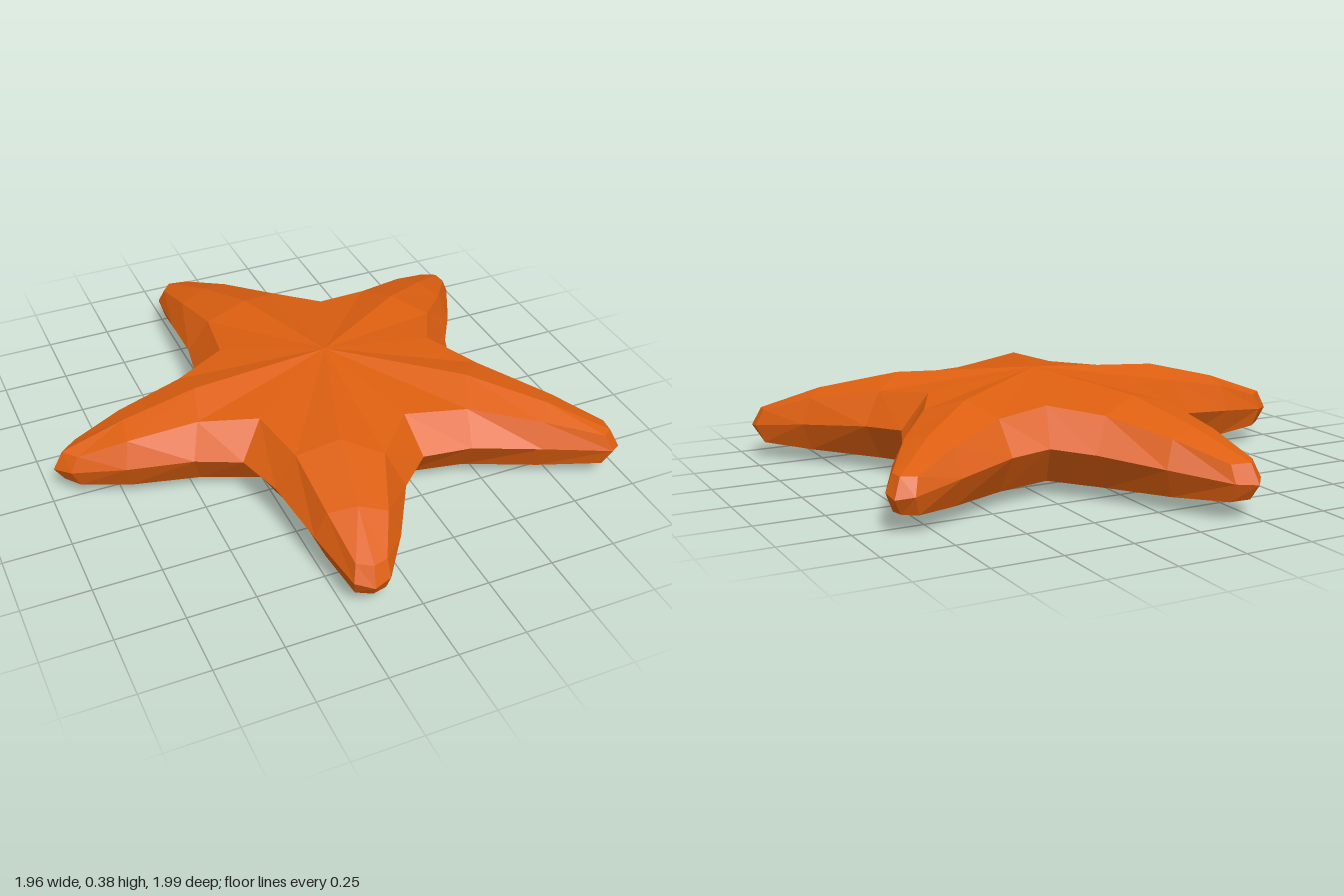
import * as THREE from 'three';

// Top-down outline [x, z] of each arm, counter-clockwise seen from above:
// valley, root, middle, tip shoulder, tip, tip shoulder, middle, root
const ARMS = [
  [[-.34, -.285], [-.48, -.205], [-.71, -.145], [-.91, -.085], [-.98, -.025], [-.93, .035], [-.75, .125], [-.52, .205]],
  [[-.365, .29], [-.31, .46], [-.275, .72], [-.235, .95], [-.175, .99], [-.11, .97], [0, .82], [.115, .625]],
  [[.24, .515], [.43, .53], [.68, .61], [.93, .695], [.975, .665], [.98, .6], [.85, .42], [.69, .175]],
  [[.615, .01], [.67, -.13], [.78, -.31], [.895, -.535], [.89, -.6], [.83, -.63], [.64, -.575], [.425, -.505]],
  [[.275, -.49], [.16, -.61], [.005, -.805], [-.145, -.985], [-.23, -1], [-.275, -.945], [-.295, -.705], [-.305, -.47]],
];
const CENTER = [0.08, 0];

// Heights along an arm: valley, root, middle, shoulder, tip
const LEVEL = [0, 1, 2, 3, 4, 3, 2, 1];
const MID_Y = [.2, .19, .165, .14, .13];
const TOP = { center: .39, ridge: [0, .355, .285], rim: [.33, .31, .26, .2, .2] };
const BOTTOM = { center: .005, ridge: [0, .02, .04], rim: [.06, .055, .06, .072, .075] };
const NARROW = [1, .72, .72, .88, 1]; // rim width compared with the outline
const PULL = [.8, .94, .98, .97, .965]; // rim distance from the centre
const RIDGE_PULL = [1, .89, .98];

const mix = (a, b, t) => [a[0] + (b[0] - a[0]) * t, a[1] + (b[1] - a[1]) * t];
const at = ([x, z], y) => [x, y, z];

function buildBody() {
  const positions = [];
  const tri = (a, b, c, flip) => positions.push(...a, ...(flip ? c : b), ...(flip ? b : c));
  const quad = (a, b, c, d, flip) => { tri(a, b, c, flip); tri(a, c, d, flip); };

  // Rim point: the outline narrowed towards the arm axis and pulled inward
  const rimPoint = (arm, i, side) => {
    const l = LEVEL[i];
    const axis = i ? mix(arm[i], arm[8 - i], .5) : arm[0];
    return at(mix(CENTER, mix(axis, arm[i], NARROW[l]), PULL[l]), side.rim[l]);
  };

  ARMS.forEach((arm, a) => {
    const next = ARMS[(a + 1) % ARMS.length];
    const mid = arm.map((p, i) => at(p, MID_Y[LEVEL[i]]));
    mid.push(at(next[0], MID_Y[0]));

    for (const side of [TOP, BOTTOM]) {
      const flip = side === BOTTOM;
      const rim = arm.map((_, i) => rimPoint(arm, i, side));
      rim.push(rimPoint(next, 0, side));

      // Sloping side band
      for (let i = 0; i < 8; i++) quad(rim[i], mid[i], mid[i + 1], rim[i + 1], flip);

      // Arm ridge from the centre to the tip
      const ridge = [at(CENTER, side.center)];
      for (const l of [1, 2]) {
        const axis = mix(arm[l], arm[8 - l], .5);
        ridge.push(at(mix(CENTER, axis, RIDGE_PULL[l]), side.ridge[l]));
      }
      ridge.push(rim[4]);

      // Face of the arm on both sides of the ridge
      for (let l = 0; l < 3; l++) {
        const j = 8 - l;
        if (l < 2) {
          quad(ridge[l], rim[l], rim[l + 1], ridge[l + 1], flip);
          quad(ridge[l], ridge[l + 1], rim[j - 1], rim[j], flip);
        } else {
          quad(ridge[2], rim[2], rim[3], ridge[3], flip);
          quad(ridge[2], ridge[3], rim[5], rim[6], flip);
        }
      }
    }
  });

  const geometry = new THREE.BufferGeometry();
  geometry.setAttribute('position', new THREE.Float32BufferAttribute(positions, 3));
  geometry.computeVertexNormals();
  geometry.computeBoundingBox();
  geometry.translate(0, -geometry.boundingBox.min.y, 0);
  return geometry;
}

export function createModel() {
  const group = new THREE.Group();
  group.name = 'starfish';
  const orange = new THREE.MeshStandardMaterial({ color: 0xdd5f10 });
  orange.name = 'orange';
  orange.flatShading = true;
  const body = new THREE.Mesh(buildBody(), orange);
  body.name = 'starfishBody';
  group.add(body);
  return group;
}
